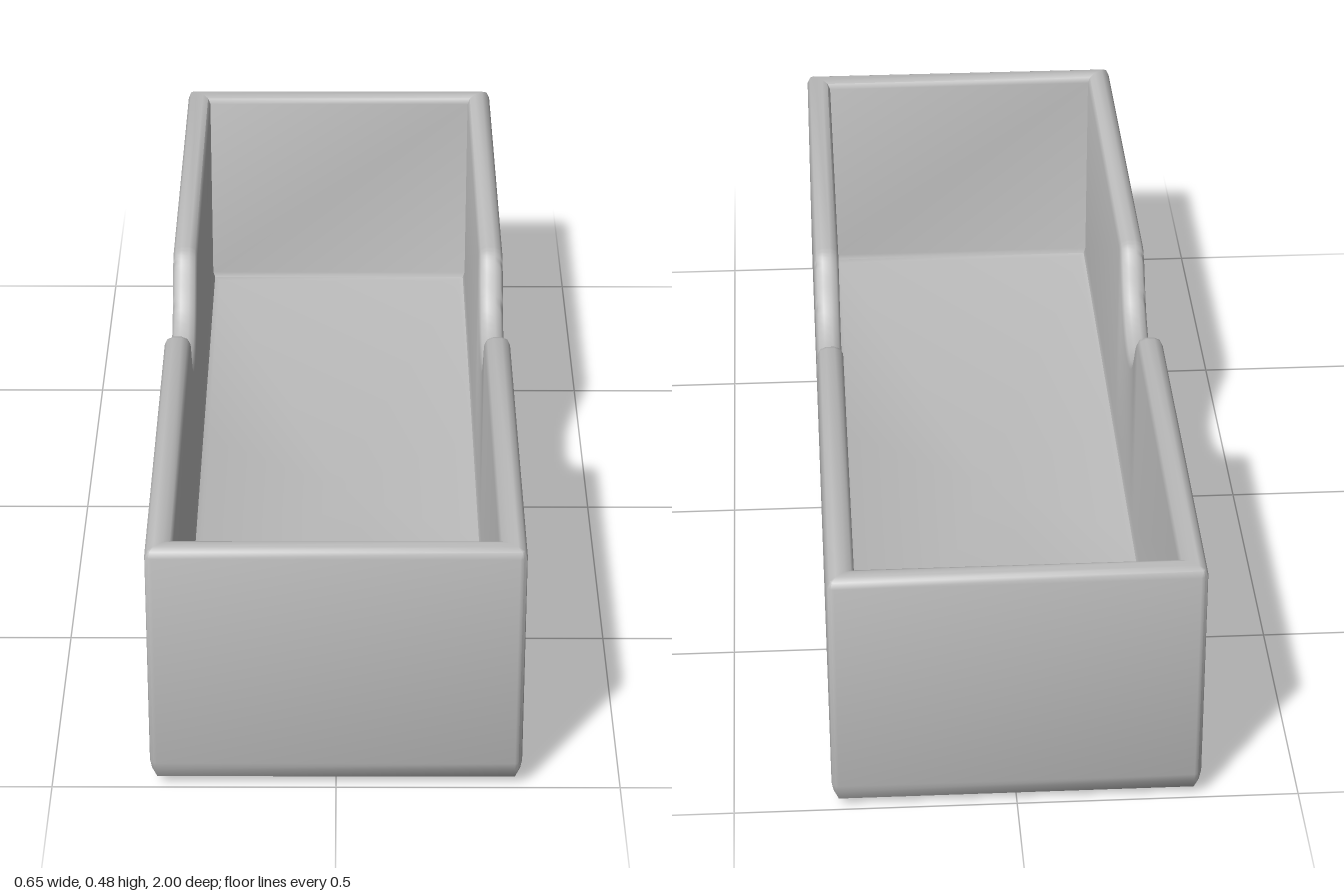
import * as THREE from 'three';
import { toCreasedNormals } from 'three/addons/utils/BufferGeometryUtils.js';

const HX = 0.327, HZ = 1, TOP = 0.48, FLOOR = 0.045, R = 0.013;

// Rim height along the long sides: a rounded finger notch at the middle
const notch = new THREE.CatmullRomCurve3([
  [0.2, 0.48], [0.185, 0.475], [0.165, 0.457], [0.13, 0.407], [0.1, 0.375], [0.05, 0.348], [0, 0.34],
].map(([z, y]) => new THREE.Vector3(0, y, z)));
const half = notch.getPoints(18).map((p) => [p.z, p.y]);
const notchPoints = [...half, ...half.slice(0, -1).reverse().map(([z, y]) => [-z, y])];

// Wall section from the underside centre, over the rim, to the floor centre:
// [inset from the outer face (null = centre), height, true if measured from the rim]
const section = [
  [null, 0], [0.047, 0], [0.012, 0.015], [0.003, 0.035], [0, 0.05],
  [0, -0.016, true], [0.005, -0.005, true], [0.016, 0, true],
  [0.032, 0, true], [0.043, -0.005, true], [0.048, -0.016, true],
  [0.048, FLOOR + 0.014], [0.052, FLOOR + 0.004], [0.062, FLOOR], [null, FLOOR],
];

// Stations around the box: rounded corners and the samples of each notch
function makeStations() {
  const list = [];
  const corner = (sx, sz, start) => {
    for (let k = 0; k <= 3; k++) {
      const a = start + (k / 3) * Math.PI / 2;
      list.push({ top: TOP, at: (d) => {
        const inner = Math.max(d, R), r = Math.max(R - d, 0);
        return [sx * (HX - inner) + r * Math.cos(a), sz * (HZ - inner) - r * Math.sin(a)];
      } });
    }
  };
  const side = (s) => notchPoints.forEach(([z, top]) =>
    list.push({ top, at: (d) => [s * (HX - d), s * z] }));
  side(1);
  corner(1, -1, 0);
  corner(-1, -1, Math.PI / 2);
  side(-1);
  corner(-1, 1, Math.PI);
  corner(1, 1, Math.PI * 1.5);
  return list;
}

function trayGeometry() {
  const rings = makeStations().map((s) => section.map(([d, y, fromRim]) => {
    const [x, z] = d === null ? [0, 0] : s.at(d);
    return new THREE.Vector3(x, fromRim ? s.top + y : y, z);
  }));
  const positions = [];
  const triangle = (a, b, c) => {
    const area = b.clone().sub(a).cross(c.clone().sub(a)).length();
    if (area > 1e-9) [a, b, c].forEach((p) => positions.push(p.x, p.y, p.z));
  };
  rings.forEach((ring, i) => {
    const next = rings[(i + 1) % rings.length];
    for (let j = 0; j < section.length - 1; j++) {
      triangle(ring[j], next[j], next[j + 1]);
      triangle(ring[j], next[j + 1], ring[j + 1]);
    }
  });
  const geometry = new THREE.BufferGeometry();
  geometry.setAttribute('position', new THREE.Float32BufferAttribute(positions, 3));
  return toCreasedNormals(geometry, 0.8);
}

export function createModel() {
  const group = new THREE.Group();
  group.name = 'openTray';
  const grey = new THREE.MeshStandardMaterial({ color: 0xbbbbbb });
  grey.name = 'grey';
  const tray = new THREE.Mesh(trayGeometry(), grey);
  tray.name = 'notchedTray';
  group.add(tray);
  return group;
}
